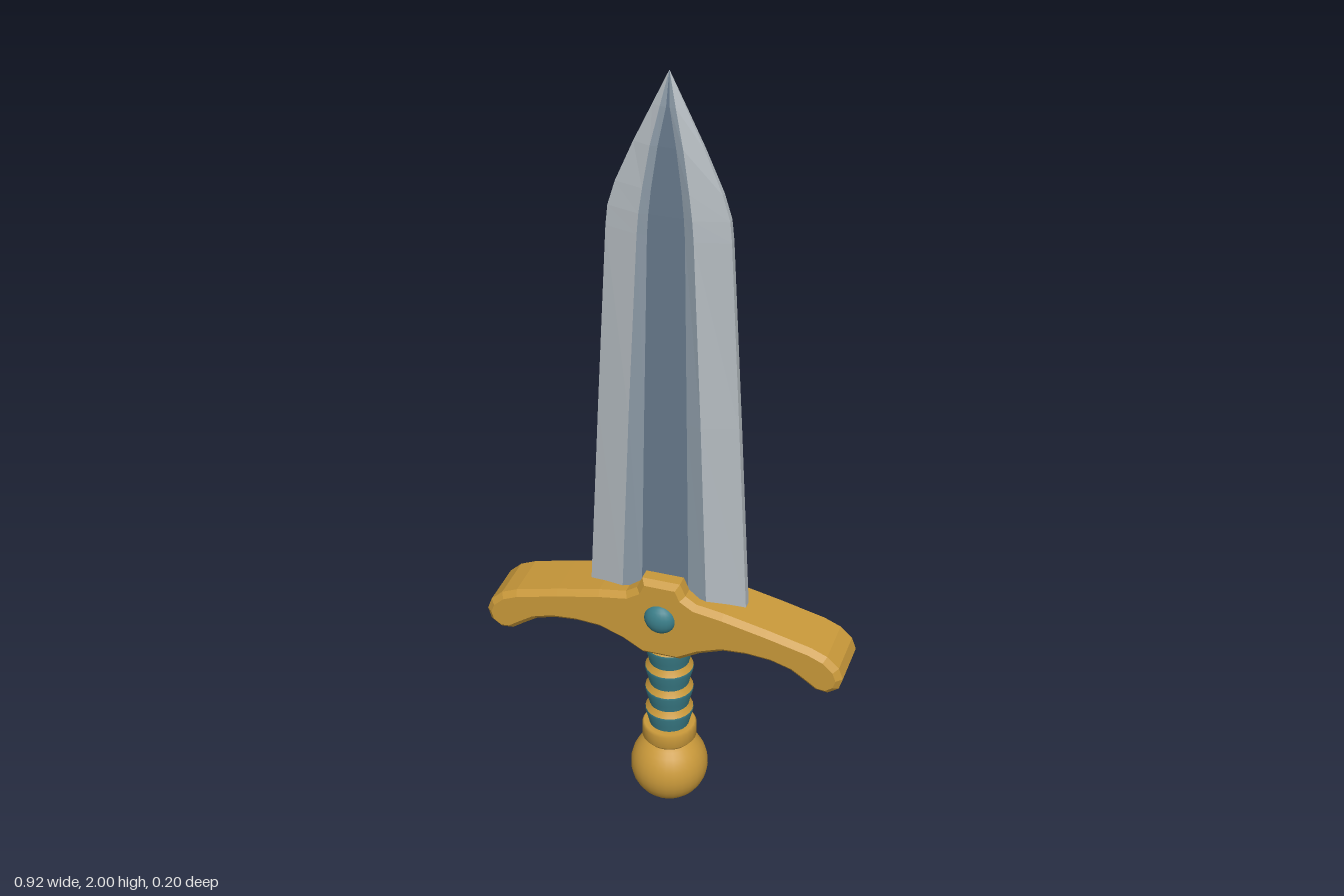
import * as THREE from 'three';

const material = (name, color) => {
  const m = new THREE.MeshStandardMaterial({ color });
  m.name = name;
  return m;
};

export function createModel() {
  const gold = material('gold', 0xc8983a);
  const teal = material('teal', 0x3a7d88);
  const silver = material('silver', 0xb4bbc0);
  const steel = material('steel', 0x8b99a5);
  const darkSteel = material('dark steel', 0x66788a);

  const model = new THREE.Group();
  model.name = 'dagger';
  const add = (name, geometry, mat, parent = model) => {
    const mesh = new THREE.Mesh(geometry, mat);
    mesh.name = name;
    parent.add(mesh);
    return mesh;
  };

  // Blade: y, half width, ridge x, groove x, ridge z, groove z, edge z
  const rows = [
    [0.64, 0.2, 0.108, 0.06, 0.042, 0.034, 0.012],
    [1.15, 0.173, 0.088, 0.052, 0.037, 0.03, 0.011],
    [1.62, 0.147, 0.066, 0.044, 0.031, 0.025, 0.009],
    [1.67, 0.142, 0.062, 0.041, 0.03, 0.024, 0.008],
    [1.73, 0.124, 0.054, 0.035, 0.027, 0.022, 0.007],
    [1.83, 0.081, 0.038, 0.021, 0.021, 0.018, 0.005],
    [1.92, 0.038, 0.018, 0.004, 0.012, 0.011, 0.003],
    [2, 0, 0, 0, 0, 0, 0],
  ];
  const section = ([y, w, r, g, rz, gz, ez]) => {
    const front = [[w, ez], [r, rz], [g, gz], [-g, gz], [-r, rz], [-w, ez]];
    return [...front, ...front.map(([x, z]) => [-x, -z])].map(([x, z]) => [x, y, z]);
  };
  const sections = rows.map(section);
  const strip = (columns) => {
    const positions = [];
    for (const i of columns) {
      const j = (i + 1) % 12;
      for (let k = 0; k < sections.length - 1; k++) {
        const a = sections[k][i], b = sections[k][j];
        const c = sections[k + 1][i], d = sections[k + 1][j];
        positions.push(...a, ...c, ...d);
        positions.push(...a, ...d, ...b);
      }
    }
    const geometry = new THREE.BufferGeometry();
    geometry.setAttribute('position', new THREE.Float32BufferAttribute(positions, 3));
    geometry.computeVertexNormals();
    return geometry;
  };
  const blade = new THREE.Group();
  blade.name = 'blade';
  model.add(blade);
  add('bladeEdges', strip([0, 4, 5, 6, 10, 11]), silver, blade);
  add('bladeRidges', strip([1, 3, 7, 9]), steel, blade);
  add('bladeGroove', strip([2, 8]), darkSteel, blade);

  // Crossguard: mirrored outline with a chamfered rim
  const half = [
    [0.048, 0.717], [0.062, 0.685], [0.09, 0.667], [0.16, 0.656], [0.27, 0.632],
    [0.38, 0.605], [0.42, 0.588], [0.45, 0.56], [0.461, 0.53], [0.452, 0.5],
    [0.425, 0.481], [0.395, 0.484], [0.365, 0.505], [0.33, 0.528], [0.28, 0.543],
    [0.22, 0.548], [0.16, 0.544], [0.1, 0.522], [0.048, 0.492],
  ];
  const outline = [...half, ...half.map(([x, y]) => [-x, y]).reverse()];
  const guard = new THREE.ExtrudeGeometry(
    new THREE.Shape(outline.map(([x, y]) => new THREE.Vector2(x, y))),
    { depth: 0.128, bevelThickness: 0.014, bevelSize: 0.014, bevelOffset: -0.014, bevelSegments: 1 },
  );
  guard.translate(0, 0, -0.064);
  add('crossguard', guard, gold);

  // Gem on each face of the guard
  for (const side of [1, -1]) {
    const gem = add('gem', new THREE.SphereGeometry(0.041, 20, 12), teal);
    gem.scale.z = 0.75;
    gem.position.set(0, 0.61, side * 0.07);
  }

  // Grip: flared wraps, each with a gold sloping shoulder
  const lathe = (points) =>
    new THREE.LatheGeometry(points.map(([r, y]) => new THREE.Vector2(r, y)), 24);
  const grip = new THREE.Group();
  grip.name = 'grip';
  model.add(grip);
  for (let i = 0; i < 4; i++) {
    const bottom = 0.235 + i * 0.066;
    const top = bottom + 0.05;
    add('gripWrap', lathe([[0.051, bottom], [0.055, bottom + 0.018], [0.062, top - 0.006], [0.061, top]]), teal, grip);
    add('gripRing', lathe([[0.061, top], [0.056, top + 0.007], [0.051, top + 0.016]]), gold, grip);
  }

  // Collar and pommel
  add('collar', lathe([[0, 0.17], [0.06, 0.185], [0.07, 0.197], [0.07, 0.23], [0.065, 0.237], [0, 0.237]]), gold);
  add('pommel', new THREE.SphereGeometry(0.1, 28, 18), gold).position.y = 0.1;

  return model;
}
